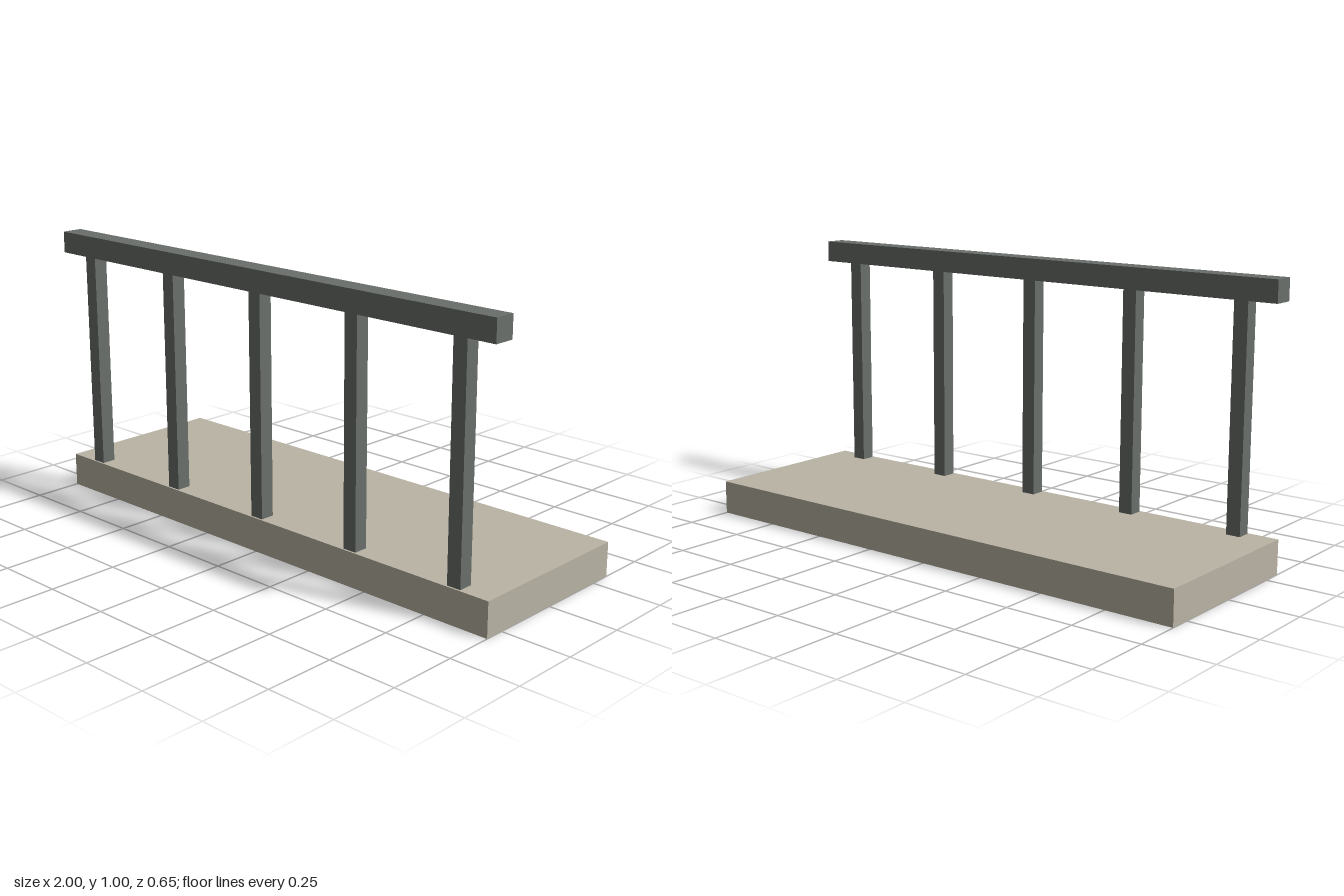
import * as THREE from 'three';

export function createModel() {
  const model = new THREE.Group();
  model.name = 'balconyRailing';

  const stone = new THREE.MeshStandardMaterial({ color: 0xbab4a5 });
  stone.name = 'warm stone';
  const metal = new THREE.MeshStandardMaterial({ color: 0x6a6f6b });
  metal.name = 'grey metal';

  // Box given by its lower and upper limits
  function addBox(name, material, [x0, x1], [y0, y1], [z0, z1]) {
    const mesh = new THREE.Mesh(new THREE.BoxGeometry(x1 - x0, y1 - y0, z1 - z0), material);
    mesh.position.set((x0 + x1) / 2, (y0 + y1) / 2, (z0 + z1) / 2);
    mesh.name = name;
    model.add(mesh);
  }

  // Floor slab and the handrail along its front edge
  addBox('slab', stone, [-1, 1], [0, 0.123], [-0.327, 0.322]);
  addBox('handrail', metal, [-1, 1], [0.917, 0.995], [0.25, 0.327]);

  // Five evenly spaced posts
  const spacing = 0.431, half = 0.026;
  for (let i = -2; i <= 2; i++) {
    const x = i * spacing;
    addBox('post', metal, [x - half, x + half], [0.123, 0.917], [0.263, 0.315]);
  }

  return model;
}
